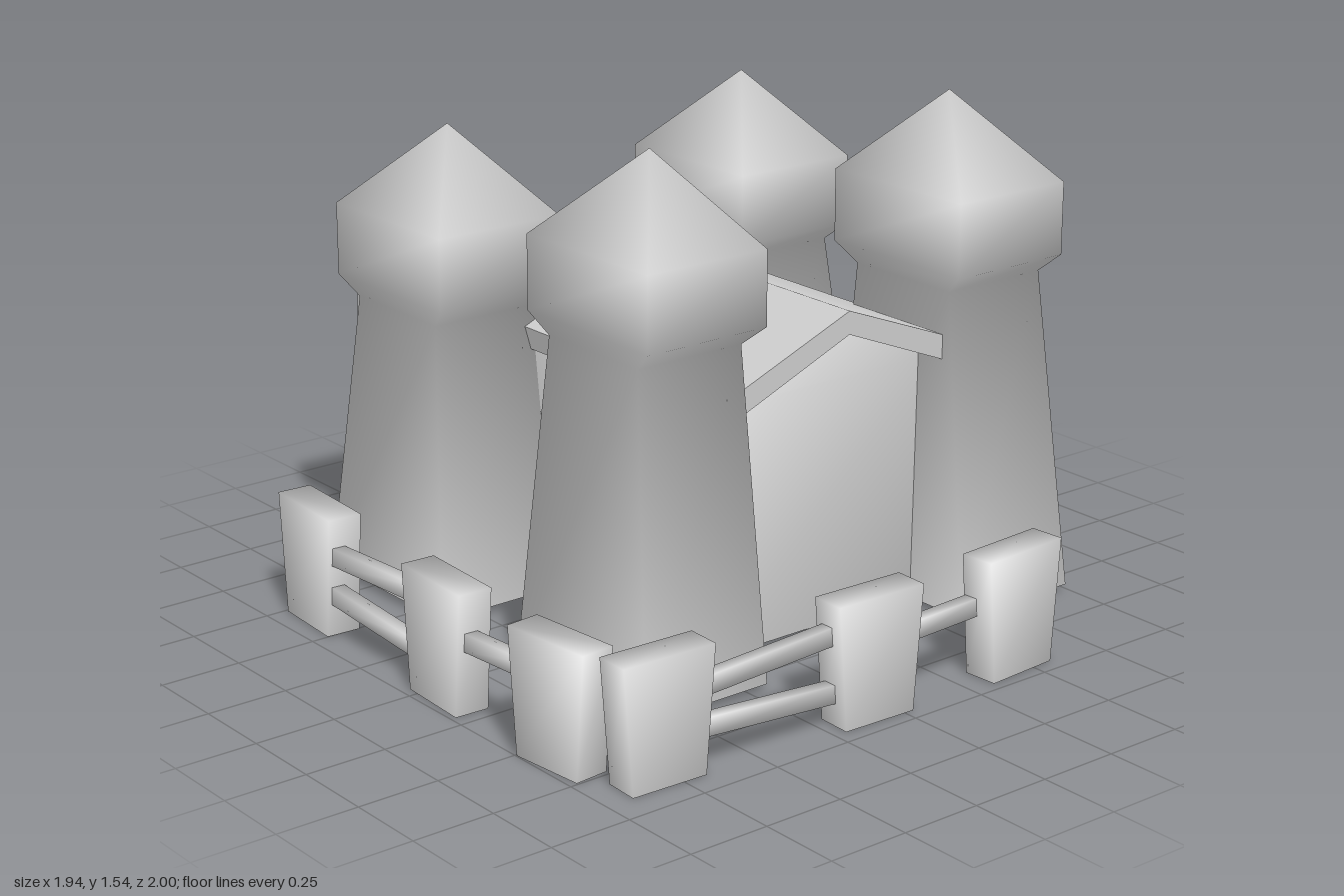
import * as THREE from 'three';
import { mergeVertices, toCreasedNormals } from 'three/addons/utils/BufferGeometryUtils.js';

const material = new THREE.MeshStandardMaterial({ color: 0xcccccc, side: THREE.DoubleSide });

// Weld corners and average the face normals, weighted by corner angle
function smooth(geometry) {
  geometry.deleteAttribute('normal');
  geometry.deleteAttribute('uv');
  const welded = mergeVertices(geometry, 1e-4);
  const { position } = welded.attributes, index = welded.index.array;
  const normals = Array.from({ length: position.count }, () => new THREE.Vector3());
  for (let t = 0; t < index.length; t += 3) {
    const ids = [index[t], index[t + 1], index[t + 2]];
    const p = ids.map((i) => new THREE.Vector3().fromBufferAttribute(position, i));
    const face = new THREE.Triangle(...p);
    if (face.getArea() < 1e-8) continue;
    const normal = face.getNormal(new THREE.Vector3());
    ids.forEach((id, k) => {
      const u = p[(k + 1) % 3].clone().sub(p[k]), v = p[(k + 2) % 3].clone().sub(p[k]);
      normals[id].addScaledVector(normal, u.angleTo(v));
    });
  }
  const flat = normals.flatMap((n) => n.normalize().toArray());
  welded.setAttribute('normal', new THREE.Float32BufferAttribute(flat, 3));
  return welded;
}

// Stack of rectangles [x0, x1, z0, z1, y], open below, closed on top
function loft(rings) {
  const positions = [], index = [];
  rings.forEach(([x0, x1, z0, z1, y], r) => {
    positions.push(x0, y, z1, x1, y, z1, x1, y, z0, x0, y, z0);
    if (r === 0) return;
    for (let i = 0; i < 4; i++) {
      const a = (r - 1) * 4 + i, b = (r - 1) * 4 + (i + 1) % 4;
      index.push(a, b, b + 4, a, b + 4, a + 4);
    }
  });
  const top = (rings.length - 1) * 4;
  index.push(top, top + 1, top + 2, top, top + 2, top + 3);
  const geometry = new THREE.BufferGeometry();
  geometry.setAttribute('position', new THREE.Float32BufferAttribute(positions, 3));
  geometry.setIndex(index);
  return smooth(geometry);
}

// Swap a ring to the other side of the castle
const toBack = ([x0, x1, z0, z1, y]) => [x0, x1, -0.35 - z1, -0.35 - z0, y];

export function createModel() {
  const model = new THREE.Group();
  model.name = 'castle';
  const add = (name, geometry) => {
    const mesh = new THREE.Mesh(geometry, material);
    mesh.name = name;
    model.add(mesh);
    return mesh;
  };

  // Corner towers: flared shaft, wider head, pointed roof
  const leftTower = [
    [-0.935, -0.345, 0.2, 0.648, 0.022],
    [-0.845, -0.45, 0.215, 0.575, 0.89],
    [-0.91, -0.38, 0.173, 0.605, 0.95],
    [-0.91, -0.38, 0.173, 0.605, 1.17],
    [-0.64, -0.64, 0.385, 0.385, 1.43],
  ];
  const rightTower = [
    [0.01, 0.603, 0.2, 0.635, 0.022],
    [0.105, 0.5, 0.215, 0.575, 1.0],
    [0.037, 0.57, 0.183, 0.597, 1.06],
    [0.037, 0.57, 0.183, 0.597, 1.28],
    [0.307, 0.307, 0.38, 0.38, 1.54],
  ];
  for (const [name, rings] of [['TowerMinusX', leftTower], ['TowerPlusX', rightTower]]) {
    add('front' + name, loft(rings));
    add('back' + name, loft(rings.map(toBack)));
  }

  // Hanging banners with a pointed lower end
  const banner = [
    [-0.975, -0.97, 0.39, 0.39, 0.255],
    [-0.94, -0.92, 0.235, 0.535, 0.39],
    [-0.88, -0.865, 0.22, 0.56, 0.9],
  ];
  add('frontBanner', toCreasedNormals(loft(banner), 0.6));
  add('backBanner', toCreasedNormals(loft(banner.map(toBack)), 0.6));

  // Hall walls with gables, open underneath
  add('hallWalls', loft([
    [-0.76, 0.38, -0.63, 0.23, 0.025],
    [-0.76, 0.38, -0.63, 0.23, 0.775],
    [-0.76, 0.38, -0.2, -0.2, 0.95],
  ]));

  // Pitched roof slab, its section drawn in (-z, y) and extruded along x
  const section = new THREE.Shape([
    [-0.245, 0.76], [0.2, 0.94], [0.645, 0.76], [0.66, 0.83], [0.2, 1.01], [-0.26, 0.83],
  ].map(([u, v]) => new THREE.Vector2(u, v)));
  const roof = new THREE.ExtrudeGeometry(section, { depth: 1.3, bevelEnabled: false });
  roof.rotateY(Math.PI / 2).translate(-0.82, 0, 0);
  add('roof', toCreasedNormals(roof, 1));

  // Fence posts: tapered boards, open underneath [x, z, turn]
  const post = loft([
    [-0.12, 0.12, -0.053, 0.053, 0],
    [-0.149, 0.149, -0.053, 0.053, 0.37],
  ]);
  const quarter = Math.PI / 2;
  [
    [-0.618, 0.886, -0.06], [0.085, 0.925, -0.05], [0.62, 0.934, 0.09],
    [0.906, -0.448, quarter + 0.07], [0.9, 0.088, quarter - 0.035], [0.86, 0.794, quarter - 0.04],
  ].forEach(([x, z, turn]) => {
    const mesh = add('fencePost', post);
    mesh.position.set(x, 0, z);
    mesh.rotation.y = turn;
  });

  // Fence rails between the posts
  [
    [[-0.52, 0.25, 0.913], [-0.03, 0.272, 0.913]],
    [[-0.52, 0.13, 0.913], [-0.03, 0.098, 0.913]],
    [[0.2, 0.223, 0.943], [0.51, 0.223, 0.92]],
    [[0.885, 0.247, 0.68], [0.887, 0.272, 0.21]],
    [[0.885, 0.13, 0.68], [0.887, 0.098, 0.21]],
    [[0.905, 0.218, -0.03], [0.887, 0.218, -0.33]],
  ].forEach(([from, to]) => {
    const a = new THREE.Vector3(...from), b = new THREE.Vector3(...to);
    const rail = add('fenceRail', smooth(new THREE.BoxGeometry(0.042, 0.055, a.distanceTo(b))));
    rail.position.copy(a).lerp(b, 0.5);
    rail.lookAt(b);
  });

  return model;
}
